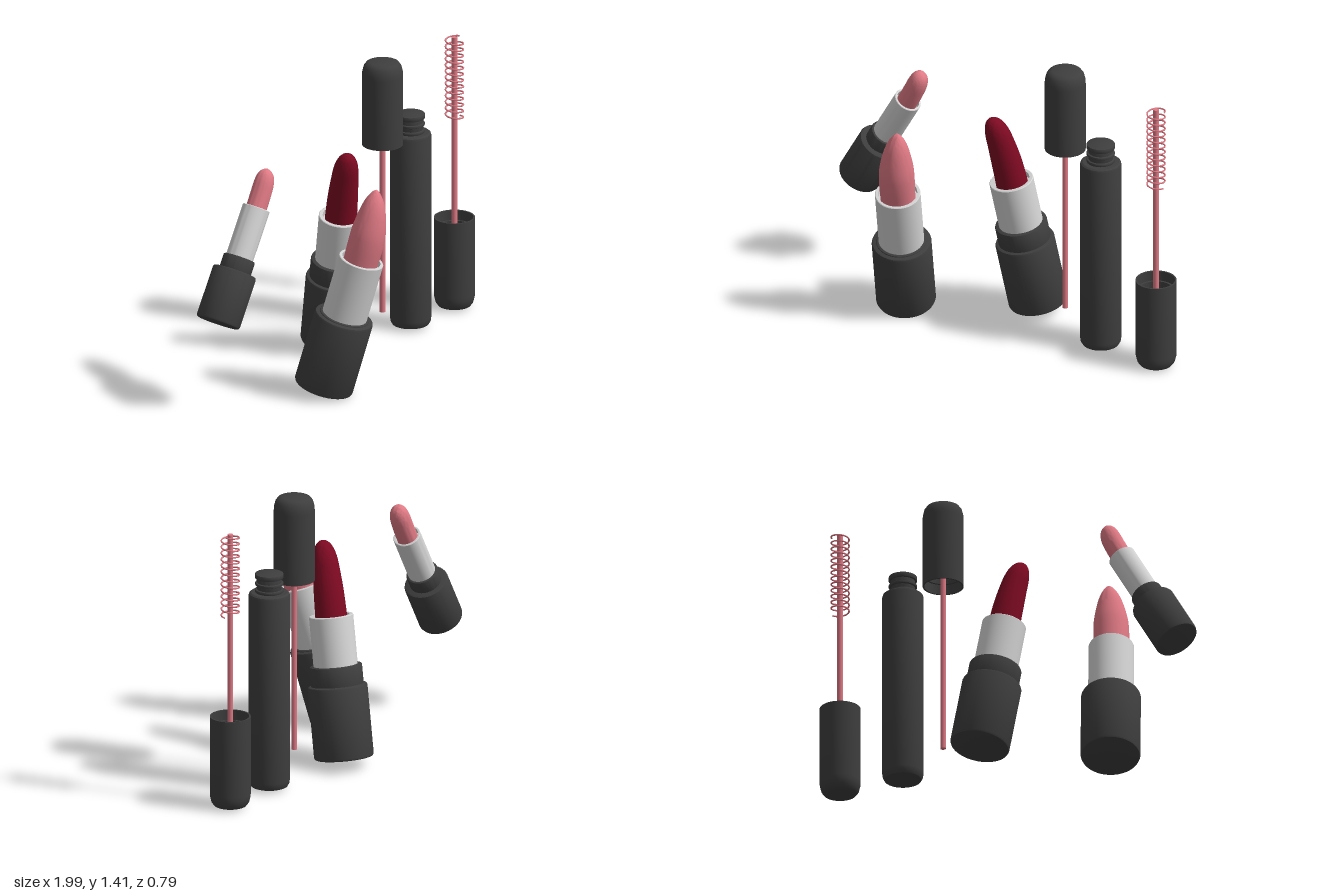
import * as THREE from 'three';
import { toCreasedNormals } from 'three/addons/utils/BufferGeometryUtils.js';

const mat = (name, color, double) => {
  const m = new THREE.MeshStandardMaterial({ color });
  m.name = name;
  if (double) m.side = THREE.DoubleSide;
  return m;
};

export function createModel() {
  const dark = mat('charcoal', 0x3e3e3e, true);
  const silver = mat('silver', 0xd4d4d4, true);
  const pink = mat('pink', 0xe07a85);
  const red = mat('deepRed', 0x7d0a22);

  const model = new THREE.Group();
  model.name = 'cosmeticsSet';

  const add = (parent, name, geometry, material) => {
    const mesh = new THREE.Mesh(geometry, material);
    mesh.name = name;
    parent.add(mesh);
    return mesh;
  };
  // Turned part from [radius, height] pairs, bottom to top
  const turned = (points, crease = 0.6, sides = 48) =>
    toCreasedNormals(new THREE.LatheGeometry(points.map(p => new THREE.Vector2(p[0], p[1])), sides), crease);
  // Solid cylinder with a small bevel on both rims
  const bevelled = (r, y0, y1, b) => turned([
    [0, y0], [r - b, y0], [r - b * 0.3, y0 + b * 0.3], [r, y0 + b],
    [r, y1 - b], [r - b * 0.3, y1 - b * 0.3], [r - b, y1], [0, y1]]);

  // Wax stick: rounded profile whose tip drifts to one side
  const stick = (r, y0, y1, shape, drift) => {
    const curve = new THREE.SplineCurve(shape.map(([t, k]) => new THREE.Vector2(k * r, y0 + t * (y1 - y0))));
    const pts = curve.getPoints(28);
    pts.forEach(p => { p.x = Math.max(p.x, 0); });
    const g = new THREE.LatheGeometry([new THREE.Vector2(r, y0 - 0.04), ...pts], 40);
    const pos = g.attributes.position;
    for (let i = 0; i < pos.count; i++) {
      const t = Math.max(0, (pos.getY(i) - y0) / (y1 - y0));
      pos.setX(i, pos.getX(i) + drift[0] * t * t);
      pos.setZ(i, pos.getZ(i) + drift[1] * t * t);
    }
    return toCreasedNormals(g, 1.0);
  };

  const lipstick = o => {
    const g = new THREE.Group();
    g.name = o.name;
    add(g, 'base', bevelled(o.baseR, 0, o.baseTop, 0.012), dark);
    add(g, 'collar', bevelled(o.collarR, o.baseTop - 0.02, o.collarTop, 0.008), dark);
    // Open sleeve with a thin wall
    const r = o.sleeveR, inner = o.stickR + (r - o.stickR) * 0.4, top = o.sleeveTop;
    add(g, 'sleeve', turned([[r, o.collarTop - 0.02], [r, top - 0.003], [r - 0.003, top],
      [inner, top], [inner, top - 0.03], [0, top - 0.03]]), silver);
    add(g, 'waxStick', stick(o.stickR, top, o.tip, o.shape, o.drift), o.wax);
    g.position.set(...o.at);
    g.quaternion.setFromUnitVectors(new THREE.Vector3(0, 1, 0), new THREE.Vector3(...o.axis).normalize());
    model.add(g);
  };

  lipstick({
    name: 'smallLipstick', at: [-0.908, 0.445, -0.15], axis: [0.51, 0.86, 0],
    baseR: 0.108, baseTop: 0.262, collarR: 0.078, collarTop: 0.33,
    sleeveR: 0.067, sleeveTop: 0.582, stickR: 0.05, tip: 0.775, wax: pink, drift: [-0.014, 0],
    shape: [[0, 1], [0.35, 1], [0.65, 0.96], [0.84, 0.78], [0.95, 0.45], [1, 0]],
  });
  lipstick({
    name: 'pinkLipstick', at: [-0.422, 0.042, 0.107], axis: [0.08, 0.66, 0.168],
    baseR: 0.143, baseTop: 0.38, collarR: 0.122, collarTop: 0.386,
    sleeveR: 0.109, sleeveTop: 0.686, stickR: 0.084, tip: 1.048, wax: pink, drift: [0, -0.03],
    shape: [[0, 1], [0.25, 1.02], [0.45, 0.97], [0.69, 0.76], [0.85, 0.52], [0.96, 0.22], [1, 0]],
  });
  lipstick({
    name: 'redLipstick', at: [0.092, 0.047, -0.26], axis: [-0.104, 1, 0.18],
    baseR: 0.143, baseTop: 0.355, collarR: 0.126, collarTop: 0.45,
    sleeveR: 0.106, sleeveTop: 0.69, stickR: 0.076, tip: 1.05, wax: red, drift: [-0.016, 0.02],
    shape: [[0, 1], [0.3, 0.95], [0.55, 0.87], [0.78, 0.76], [0.92, 0.54], [0.985, 0.26], [1, 0]],
  });

  // Hollow mascara cap, closed end at y = 0 and open rim at y = h
  const cap = h => turned([[0, 0], [0.062, 0], [0.078, 0.006], [0.09, 0.022], [0.097, 0.05], [0.098, 0.07],
    [0.098, h], [0.09, h], [0.09, h - 0.05], [0.08, h - 0.05], [0.08, 0.06], [0, 0.06]]);
  const rod = (y0, y1) => new THREE.CylinderGeometry(0.014, 0.014, y1 - y0, 20).translate(0, (y0 + y1) / 2, 0);
  const zM = -0.143;

  // Cap hanging with its wand pointing down
  const hanging = new THREE.Group();
  hanging.name = 'hangingWand';
  hanging.position.set(0.345, 0, zM);
  const hangingCap = add(hanging, 'cap', cap(0.42), dark);
  hangingCap.rotation.x = Math.PI;
  hangingCap.position.y = 1.412;
  add(hanging, 'rod', rod(0.14, 1.36), pink);
  model.add(hanging);

  // Mascara tube with threaded neck
  const tube = new THREE.Group();
  tube.name = 'mascaraTube';
  tube.position.set(0.56, 0, zM);
  add(tube, 'body', turned([[0, 0.014], [0.072, 0.014], [0.088, 0.02], [0.096, 0.034], [0.099, 0.055],
    [0.099, 0.975], [0.096, 0.986], [0.088, 0.992], [0, 0.992]]), dark);
  add(tube, 'neck', bevelled(0.058, 0.98, 1.084, 0.003), dark);
  [[1.0, 0.016], [1.035, 0.014], [1.074, 0.024]].forEach(([y, h]) =>
    add(tube, 'threadRing', bevelled(0.068, y - h / 2, y + h / 2, 0.004), dark));
  model.add(tube);

  // Upright wand with a spiral brush
  const upright = new THREE.Group();
  upright.name = 'uprightWand';
  upright.position.set(0.895, 0, zM);
  add(upright, 'cap', cap(0.452), dark).position.y = 0.01;
  add(upright, 'rod', rod(0.06, 1.375), pink);
  const turns = 13, coil = [];
  for (let i = 0; i <= turns * 16; i++) {
    const a = i / 16 * Math.PI * 2;
    coil.push(new THREE.Vector3(0.043 * Math.cos(a), 0.965 + 0.405 * i / (turns * 16), 0.043 * Math.sin(a)));
  }
  add(upright, 'spiralBrush',
    new THREE.TubeGeometry(new THREE.CatmullRomCurve3(coil), turns * 28, 0.004, 6), pink);
  model.add(upright);

  return model;
}
